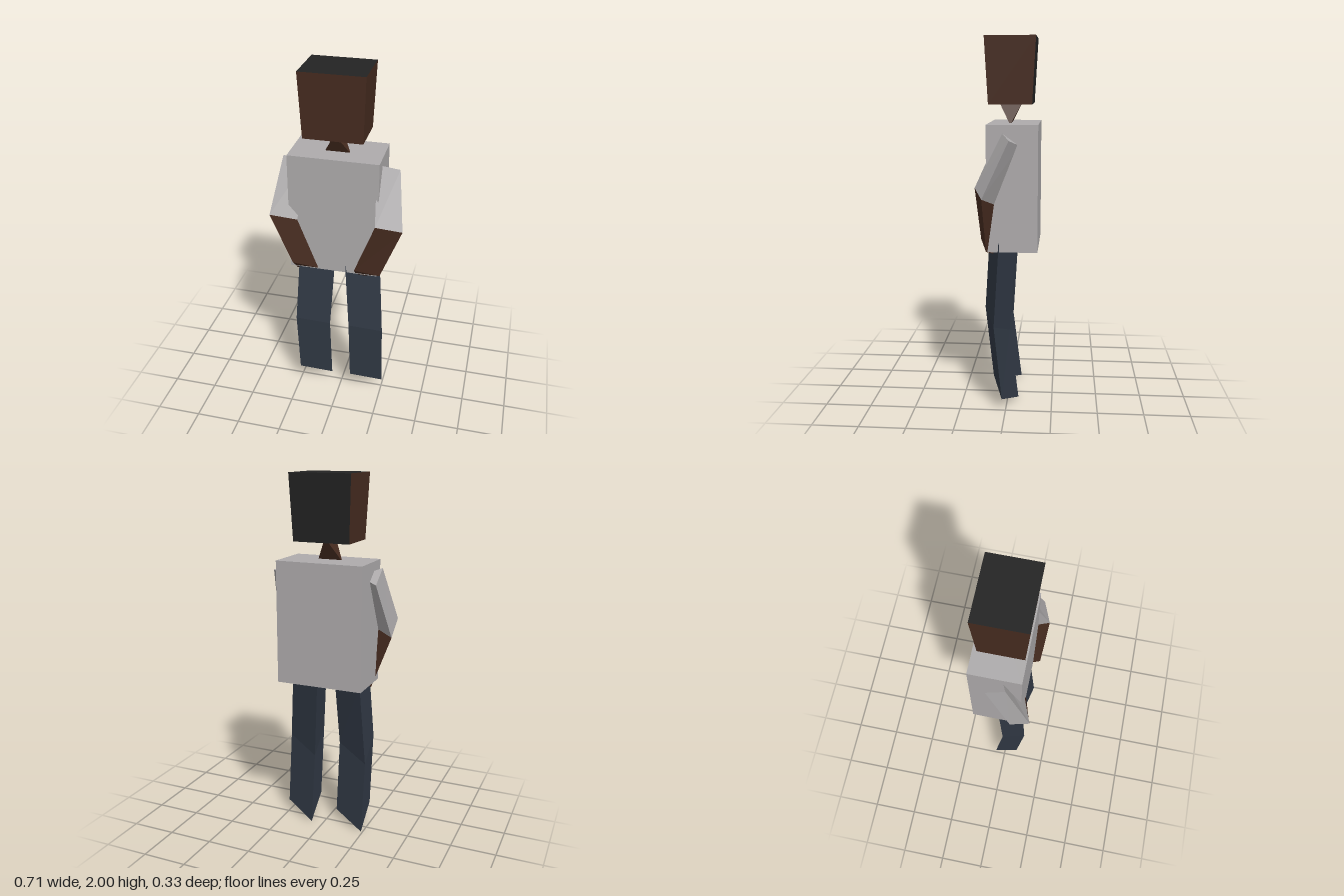
import * as THREE from 'three';
import { ConvexGeometry } from 'three/addons/geometries/ConvexGeometry.js';

const mat = (name, color) => {
  const m = new THREE.MeshStandardMaterial({ color });
  m.name = name;
  return m;
};

// Three-sided closed segment between two rings, each listed counterclockwise from above
function prism(top, bottom) {
  const pos = [];
  const face = (...pts) => pts.forEach((p) => pos.push(...p));
  face(top[0], top[1], top[2]);
  face(bottom[0], bottom[2], bottom[1]);
  for (let i = 0; i < 3; i++) {
    const j = (i + 1) % 3;
    face(bottom[i], bottom[j], top[j]);
    face(bottom[i], top[j], top[i]);
  }
  const g = new THREE.BufferGeometry();
  g.setAttribute('position', new THREE.Float32BufferAttribute(pos, 3));
  g.computeVertexNormals();
  return g;
}

// Triangular ring: front and back corners at x, side corner at x + width; yz pairs in order
const ring = (x, width, [front, side, back]) => [
  [x, ...front], [x + width, ...side], [x, ...back],
];

export function createModel() {
  const skin = mat('dark brown skin', 0x472c20);
  const hair = mat('black hair', 0x232323);
  const shirt = mat('grey shirt', 0xaeabac);
  const jeans = mat('navy trousers', 0x303844);

  const model = new THREE.Group();
  model.name = 'figure';
  const add = (name, geometry, material, parent = model) => {
    const mesh = new THREE.Mesh(geometry, material);
    mesh.name = name;
    parent.add(mesh);
    return mesh;
  };

  // Torso
  add('torso', new THREE.BoxGeometry(0.486, 0.67, 0.27), shirt).position.set(-0.024, 1.215, -0.032);

  // Head, narrowing towards the chin, with hair on the top and back faces
  const headGeo = new THREE.BoxGeometry(0.342, 0.35, 0.268);
  const p = headGeo.attributes.position;
  for (let i = 0; i < p.count; i++) {
    if (p.getY(i) < 0) p.setXYZ(i, p.getX(i) * 0.92, p.getY(i), p.getZ(i) * 0.86);
  }
  headGeo.computeVertexNormals();
  add('head', headGeo, [skin, skin, hair, skin, skin, hair]).position.set(-0.024, 1.825, -0.016);

  // Neck: a wedge that twists from a sideways edge to a front-to-back edge
  add('neck', new ConvexGeometry([
    [-0.095, 1.54, -0.01], [0.046, 1.54, -0.01],
    [-0.024, 1.67, 0.06], [-0.024, 1.67, -0.08],
  ].map((v) => new THREE.Vector3(...v))), skin);

  // Arms: [y, z] of the front, side and back corners
  const shoulder = [[1.515, 0.03], [1.475, -0.022], [1.44, -0.072]];
  const elbow = [[1.222, 0.163], [1.183, 0.113], [1.135, 0.06]];
  const hand = [[0.925, 0.143], [0.885, 0.103], [0.84, 0.06]];
  for (const [side, xs, xe, xh] of [['right', -0.307, -0.355, -0.243], ['left', 0.192, 0.215, 0.102]]) {
    const arm = new THREE.Group();
    arm.name = side + 'Arm';
    model.add(arm);
    const mid = ring(xe, 0.137, elbow);
    add('sleeve', prism(ring(xs, 0.114, shoulder), mid), shirt, arm);
    add('forearm', prism(mid, ring(xh, 0.134, hand)), skin, arm);
  }

  // Legs, built the same way
  const hip = [[0.98, 0.1], [0.928, 0.037], [0.87, -0.04]];
  const knee = [[0.53, 0.125], [0.475, 0.063], [0.4, -0.01]];
  const foot = [[0.125, 0.08], [0.065, 0.02], [0, -0.06]];
  for (const [side, xh, xk] of [['right', -0.212, -0.24], ['left', 0.04, 0.07]]) {
    const leg = new THREE.Group();
    leg.name = side + 'Leg';
    model.add(leg);
    const mid = ring(xk, 0.184, knee);
    add('thigh', prism(ring(xh, 0.184, hip), mid), jeans, leg);
    add('shin', prism(mid, ring(xk, 0.184, foot)), jeans, leg);
  }

  return model;
}
